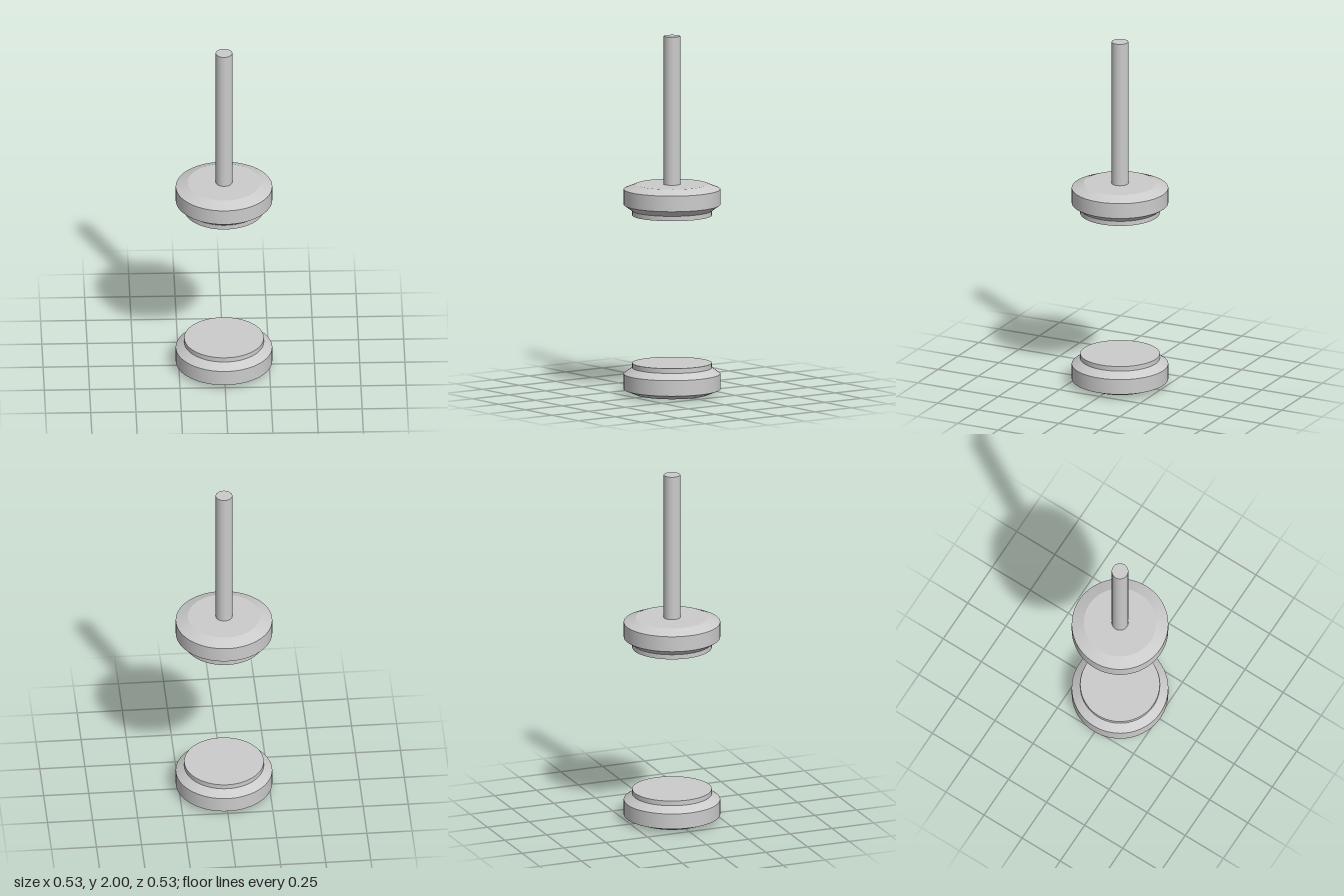
import * as THREE from 'three';
import { toCreasedNormals } from 'three/addons/utils/BufferGeometryUtils.js';

const SEGMENTS = 64;
const HEIGHT = 0.174;

// Half-section of one puck: outer face at y = 0, stepped inner face at the top
const PROFILE = [
  [0, 0], [0.2, 0], [0.267, 0.027], [0.267, 0.114],
  [0.22, 0.147], [0.22, HEIGHT], [0, HEIGHT],
];

export function createModel() {
  const group = new THREE.Group();
  const material = new THREE.MeshStandardMaterial({ color: 0xcccccc });

  const add = (name, geometry, y) => {
    const mesh = new THREE.Mesh(geometry, material);
    mesh.name = name;
    mesh.position.y = y;
    group.add(mesh);
    return mesh;
  };

  const points = PROFILE.map(([r, y]) => new THREE.Vector2(r, y));
  const puck = toCreasedNormals(new THREE.LatheGeometry(points, SEGMENTS), 0.25);

  // Two facing pucks, the upper one turned over
  add('lowerDisc', puck, 0);
  const topFace = 0.998 + HEIGHT;
  add('upperDisc', puck, topFace).rotation.x = Math.PI;

  // Rod rising from the upper disc
  const length = 2 - topFace;
  add('rod', new THREE.CylinderGeometry(0.046, 0.046, length, SEGMENTS), topFace + length / 2);

  return group;
}
